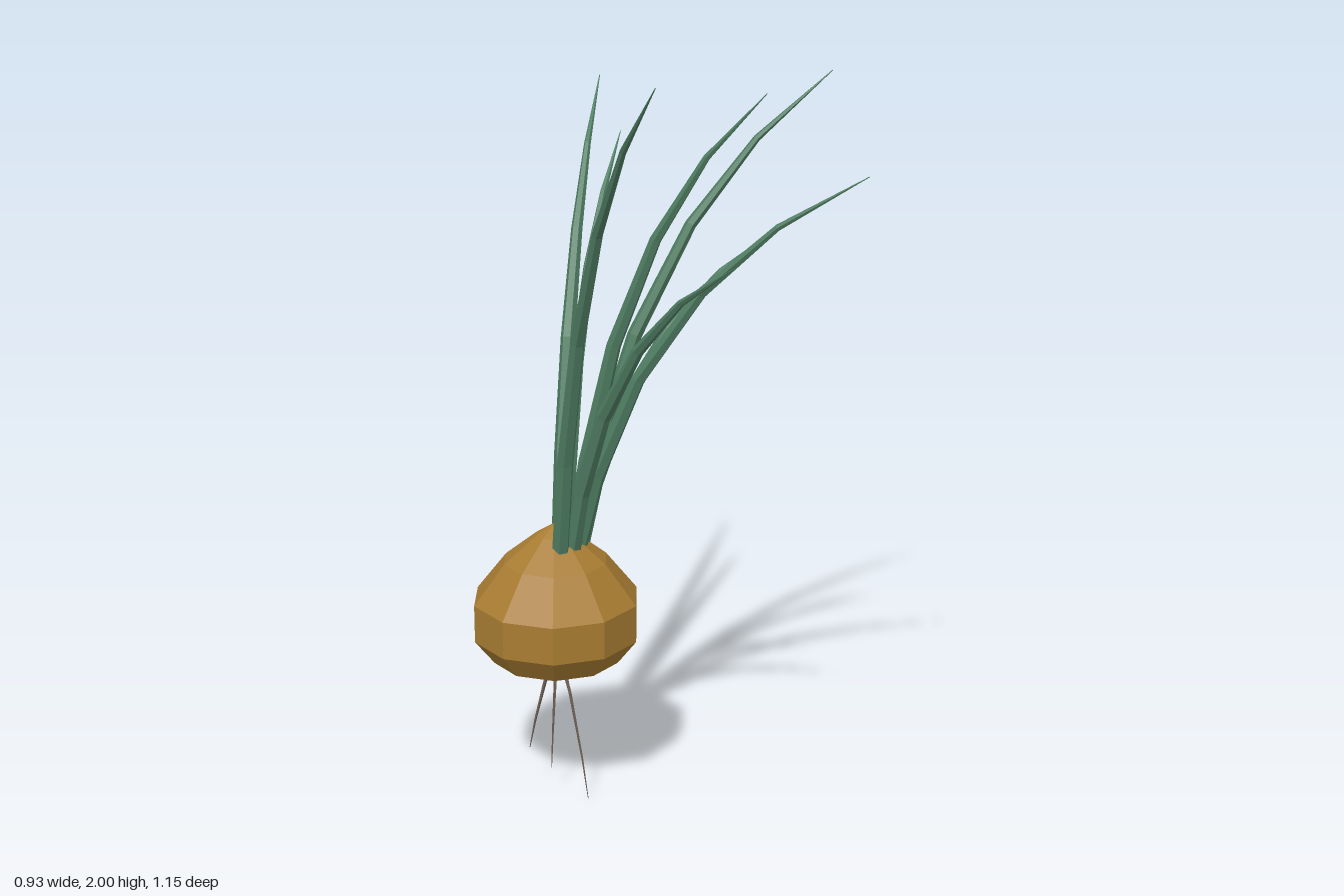
import * as THREE from 'three';

const V = (x, y, z) => new THREE.Vector3(x, y, z);

// Tapered stalk: rings of `sides` points around a bending path, closed at both ends
function taper(path, radii, sides) {
  const pos = [], idx = [];
  const n = path.length;
  const out = path[n - 1].clone().sub(path[0]).setY(0).normalize();
  const across = V(0, 1, 0).cross(out).normalize();
  path.forEach((p, i) => {
    const dir = path[Math.min(i + 1, n - 1)].clone().sub(path[Math.max(i - 1, 0)]).normalize();
    const normal = across.clone().cross(dir).normalize();
    for (let s = 0; s < sides; s++) {
      const a = (s / sides) * Math.PI * 2;
      const q = p.clone().addScaledVector(across, Math.cos(a) * radii[i])
        .addScaledVector(normal, -Math.sin(a) * radii[i]);
      pos.push(q.x, q.y, q.z);
    }
  });
  for (let i = 0; i < n - 1; i++) {
    for (let s = 0; s < sides; s++) {
      const a = i * sides + s, b = i * sides + (s + 1) % sides;
      idx.push(a, b, b + sides, a, b + sides, a + sides);
    }
  }
  const last = (n - 1) * sides;
  for (let s = 1; s < sides - 1; s++) {
    idx.push(0, s + 1, s, last, last + s, last + s + 1);
  }
  const g = new THREE.BufferGeometry();
  g.setAttribute('position', new THREE.Float32BufferAttribute(pos, 3));
  g.setIndex(idx);
  g.computeVertexNormals();
  return g;
}

// Path from base to tip; outward and vertical travel follow separate fractions
function bend(base, tip, across, up) {
  return across.map((h, i) => V(
    base.x + (tip.x - base.x) * h,
    base.y + (tip.y - base.y) * up[i],
    base.z + (tip.z - base.z) * h));
}

export function createModel() {
  const model = new THREE.Group();
  const material = (color) => new THREE.MeshStandardMaterial({
    color, flatShading: true, side: THREE.DoubleSide });
  const bulbMat = material(0xa87c32);
  const leafMat = material(0x4f7d62);
  const rootMat = material(0x6b5f55);

  // Ten-sided bulb
  const profile = [[0, 0.405], [0.168, 0.39], [0.219, 0.455], [0.219, 0.555],
    [0.137, 0.66], [0.05, 0.73], [0, 0.76]].map(([r, y]) => new THREE.Vector2(r, y));
  const bulb = new THREE.Mesh(new THREE.LatheGeometry(profile, 10), bulbMat);
  bulb.position.set(-0.259, 0, -0.114);
  bulb.name = 'bulb';
  model.add(bulb);

  // Arching leaves: base x, base z, then tip
  const leaves = new THREE.Group();
  leaves.name = 'leaves';
  [
    [-0.28, -0.06, -0.435, 2.0, 0.57],
    [-0.245, -0.06, -0.195, 1.555, 0.54],
    [-0.225, -0.075, 0.07, 1.9, 0.325],
    [-0.215, -0.075, 0.235, 1.71, 0.51],
    [-0.19, -0.1, 0.465, 1.885, 0.095],
    [-0.185, -0.105, 0.33, 1.495, 0.065],
    [-0.22, -0.15, 0.21, 1.805, -0.575],
    [-0.21, -0.14, 0.13, 1.695, -0.365],
  ].forEach(([bx, bz, x, y, z]) => {
    const path = bend(V(bx, 0.69, bz), V(x, y, z),
      [0, 0.07, 0.22, 0.44, 0.7, 1], [0, 0.2, 0.46, 0.69, 0.865, 1]);
    const leaf = new THREE.Mesh(taper(path, [0.023, 0.022, 0.019, 0.015, 0.009, 0.001], 6), leafMat);
    leaf.name = 'leaf';
    leaves.add(leaf);
  });
  model.add(leaves);

  // Thin roots hanging below the bulb
  const roots = new THREE.Group();
  roots.name = 'roots';
  [
    [-0.325, 0.13, -0.15],
    [-0.29, 0.08, -0.1],
    [-0.225, 0, -0.025],
    [-0.19, 0.19, -0.14],
  ].forEach(([x, y, z]) => {
    const path = bend(V(-0.259, 0.41, -0.11), V(x, y, z), [0, 0.4, 0.8, 1], [0, 0.28, 0.72, 1]);
    const root = new THREE.Mesh(taper(path, [0.006, 0.005, 0.003, 0.001], 4), rootMat);
    root.name = 'root';
    roots.add(root);
  });
  model.add(roots);

  return model;
}
